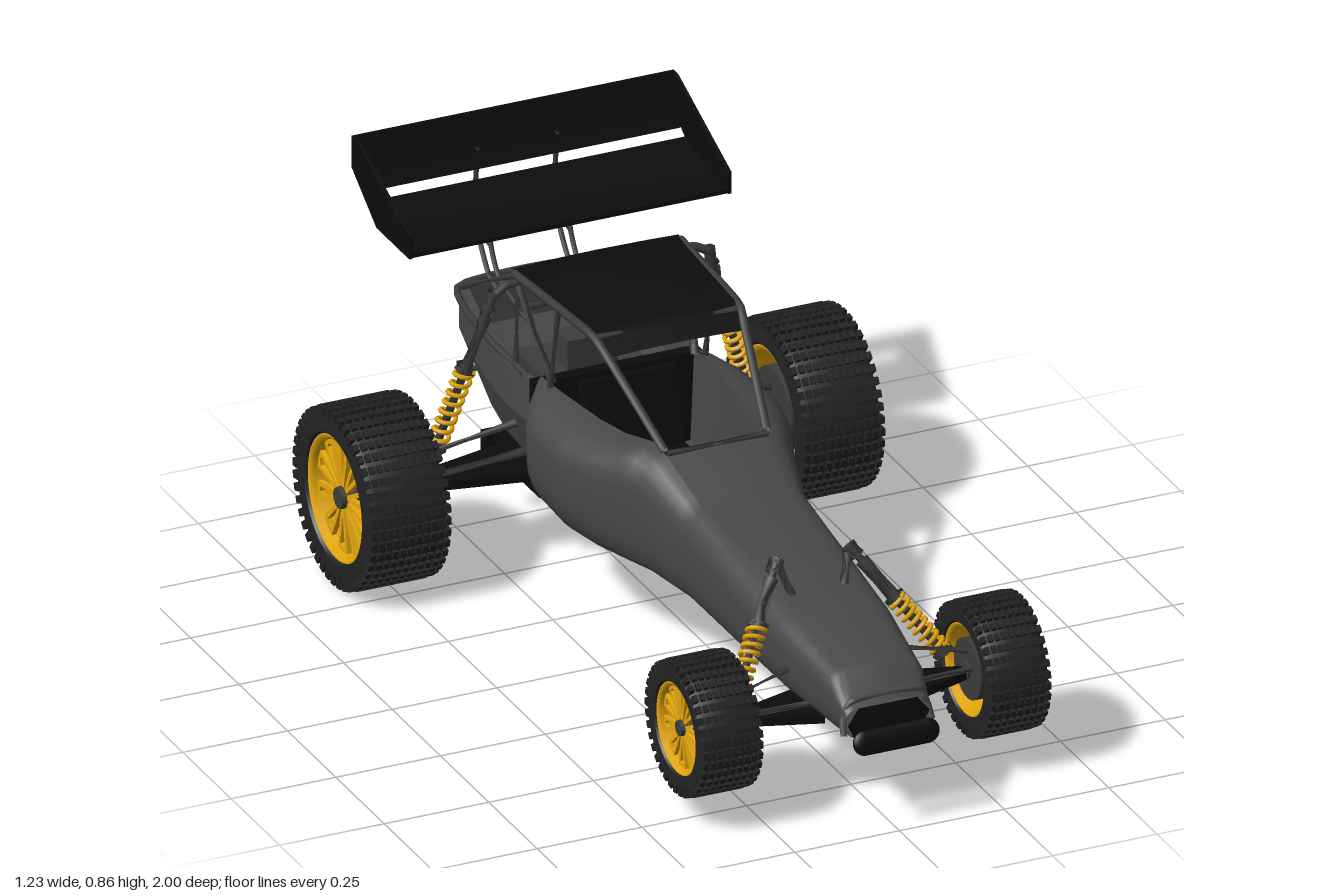
import * as THREE from 'three';
import { mergeGeometries, toCreasedNormals } from 'three/addons/utils/BufferGeometryUtils.js';

const V = (x, y, z) => new THREE.Vector3(x, y, z);
const mat = (color) => new THREE.MeshStandardMaterial({ color, side: THREE.DoubleSide });
const BODY = mat(0x484848), FRAME = mat(0x3c3c3c), BLACK = mat(0x0c0c0c), RUBBER = mat(0x222222), GOLD = mat(0xe6a80c);

function add(parent, name, geo, material, pos) {
  const m = new THREE.Mesh(geo, material);
  m.name = name;
  if (pos) m.position.set(...pos);
  parent.add(m);
  return m;
}

// Skin over a row of cross-sections, each an array of Vector3
function loft(sections, crease = 0.6) {
  const n = sections[0].length, pos = [], idx = [];
  sections.forEach((s) => s.forEach((p) => pos.push(p.x, p.y, p.z)));
  for (let i = 0; i < sections.length - 1; i++) {
    for (let j = 0; j < n - 1; j++) {
      const a = i * n + j, b = a + n;
      idx.push(a, a + 1, b, b, a + 1, b + 1);
    }
  }
  const g = new THREE.BufferGeometry();
  g.setAttribute('position', new THREE.Float32BufferAttribute(pos, 3));
  g.setIndex(idx);
  return toCreasedNormals(g, crease);
}

// Round bar through points
function bar(parent, name, pts, r = 0.009, material = FRAME) {
  const curve = new THREE.CatmullRomCurve3(pts, false, 'catmullrom', 0.3);
  add(parent, name, new THREE.TubeGeometry(curve, pts.length > 2 ? pts.length * 6 : 1, r, 8), material);
}

// Flat plate in the xz plane
function plate(parent, name, pts, y, thick, material) {
  const shape = new THREE.Shape(pts.map(([x, z]) => new THREE.Vector2(x, -z)));
  const g = new THREE.ExtrudeGeometry(shape, { depth: thick, bevelEnabled: false }).rotateX(-Math.PI / 2);
  add(parent, name, g, material, [0, y, 0]);
}

// Shock absorber with coil spring on its lower part
class Helix extends THREE.Curve {
  constructor(a, b, r, turns) {
    super();
    this.a = a; this.b = b; this.r = r; this.turns = turns;
    const d = b.clone().sub(a).normalize();
    this.u = V(0, 0, 1).cross(d).normalize();
    this.v = d.clone().cross(this.u);
  }
  getPoint(t, out = V(0, 0, 0)) {
    const k = t * this.turns * Math.PI * 2;
    return out.lerpVectors(this.a, this.b, t).addScaledVector(this.u, Math.cos(k) * this.r).addScaledVector(this.v, Math.sin(k) * this.r);
  }
}
function shock(parent, name, top, bottom) {
  const g = new THREE.Group();
  g.name = name;
  const at = (t) => top.clone().lerp(bottom, t);
  bar(g, 'damperRod', [top, bottom], 0.009);
  bar(g, 'damperBody', [at(0.14), at(0.5)], 0.016);
  bar(g, 'damperCap', [at(0), at(0.1)], 0.017);
  bar(g, 'springCollar', [at(0.46), at(0.49)], 0.025);
  bar(g, 'springSeat', [at(0.95), at(0.98)], 0.025);
  add(g, 'coilSpring', new THREE.TubeGeometry(new Helix(at(0.49), at(0.95), 0.02, 8), 112, 0.0055, 5), GOLD);
  parent.add(g);
}

// Wheel built around the y axis with +y facing outward
function wheel(name, R, h, r, rows, count) {
  const g = new THREE.Group();
  g.name = name;
  const half = [[r, 0.84], [r * 1.05, 0.95], [R * 0.86, 0.97], [R - 0.016, 0.92], [R - 0.009, 0.75], [R - 0.008, 0]];
  const prof = [...half, ...half.slice(0, -1).reverse().map(([x, y]) => [x, -y])].map(([x, y]) => new THREE.Vector2(x, y * h));
  add(g, 'tyre', toCreasedNormals(new THREE.LatheGeometry(prof, 48), 0.6), RUBBER);
  const knobs = [];
  for (let i = 0; i < count; i++) {
    for (let j = 0; j < rows; j++) {
      const y = ((j + 0.5) / rows * 2 - 1) * h, edge = j === 0 || j === rows - 1;
      const k = new THREE.BoxGeometry(edge ? 0.022 : 0.013, h * 1.35 / rows, Math.PI * R / count * 1.15);
      k.translate(edge ? R - 0.013 : R - 0.0065, y, 0).rotateY(i / count * Math.PI * 2);
      knobs.push(k);
    }
  }
  add(g, 'treadKnobs', mergeGeometries(knobs), RUBBER);
  const rim = [[1.03, -0.88], [0.98, -0.9], [0.92, -0.8], [0.9, 0], [0.92, 0.8], [0.98, 0.9], [1.03, 0.88]];
  add(g, 'rimBarrel', new THREE.LatheGeometry(rim.map(([x, y]) => new THREE.Vector2(x * r, y * h)), 40), GOLD);

  // Petal spokes with a slot
  const petal = new THREE.Shape([[0.14, -0.035], [0.55, -0.12], [0.94, -0.17], [0.94, 0.17], [0.55, 0.12], [0.14, 0.035]].map(([x, y]) => new THREE.Vector2(x * r, y * r)));
  petal.holes.push(new THREE.Path([[0.3, 0], [0.82, 0.085], [0.86, 0], [0.82, -0.085]].map(([x, y]) => new THREE.Vector2(x * r, y * r))));
  const spokes = [];
  for (let i = 0; i < 10; i++) {
    spokes.push(new THREE.ExtrudeGeometry(petal, { depth: h * 0.12, bevelEnabled: false })
      .rotateX(-Math.PI / 2).translate(0, h * 0.6, 0).rotateY(i * Math.PI / 5));
  }
  add(g, 'spokes', mergeGeometries(spokes), GOLD);
  add(g, 'hub', new THREE.CylinderGeometry(r * 0.17, r * 0.2, h * 0.35, 16), FRAME, [0, h * 0.66, 0]);
  add(g, 'hubCarrier', new THREE.CylinderGeometry(r * 0.2, r * 0.2, h * 1.4, 12), FRAME, [0, -h * 0.2, 0]);
  add(g, 'brakeDisc', new THREE.CylinderGeometry(r * 0.68, r * 0.68, h * 0.3, 32), FRAME, [0, -h * 0.65, 0]);
  return g;
}

export function createModel() {
  const car = new THREE.Group();
  car.name = 'racingBuggy';

  // Body stations: z, [rim half-width, top, side half-width, bottom]
  const stations = [[0.94, 0.07, 0.285, 0.1, 0.215], [0.88, 0.075, 0.345, 0.112, 0.215], [0.67, 0.085, 0.385, 0.135, 0.217],
    [0.45, 0.09, 0.415, 0.145, 0.222], [0.2, 0.105, 0.45, 0.152, 0.226], [0.06, 0.12, 0.51, 0.185, 0.23], [0, 0.125, 0.52, 0.21, 0.23],
    [-0.1, 0.145, 0.5, 0.25, 0.232], [-0.2, 0.16, 0.492, 0.274, 0.234], [-0.35, 0.175, 0.488, 0.268, 0.235], [-0.42, 0.18, 0.485, 0.235, 0.235], [-0.46, 0.18, 0.483, 0.2, 0.236]];
  const lerpRow = (z) => {
    const i = Math.max(0, Math.min(stations.length - 2, stations.findIndex((s, k) => k > 0 && s[0] <= z + 1e-6) - 1));
    const a = stations[i], b = stations[i + 1], t = (a[0] - z) / (a[0] - b[0]);
    return a.map((v, k) => v + (b[k] - v) * t);
  };
  const zs = [], Z0 = 0.94, Z1 = -0.46, N = 70;
  for (let i = 0; i <= N; i++) zs.push(Z0 + (Z1 - Z0) * i / N);
  const side = (z, s) => {
    const [, rim, top, w, bot] = lerpRow(z), H = top - bot;
    const pts = [[rim, top], [rim + (w - rim) * 0.55, top - H * 0.05], [w * 0.98, top - H * 0.2], [w, top - H * 0.42], [w * 0.97, bot + H * 0.25], [w * 0.86, bot + H * 0.05], [w * 0.75, bot]];
    return new THREE.CatmullRomCurve3(pts.map(([x, y]) => V(s * x, y, z))).getPoints(14).concat(V(0, bot, z));
  };
  for (const s of [-1, 1]) add(car, 'bodySide', loft(zs.map((z) => side(z, s)), 0.9), BODY);
  add(car, 'hood', loft(zs.filter((z) => z > 0.05).map((z) => {
    const [, rim, top] = lerpRow(z);
    return [-1, -0.5, 0, 0.5, 1].map((k) => V(k * rim, top + 0.008 * (1 - k * k), z));
  })), BODY);
  add(car, 'cockpitTub', loft([0.06, 0, -0.1, -0.2, -0.35, -0.45].map((z) => {
    const [, rim, top] = lerpRow(z);
    return [[-rim, top], [-rim * 0.95, 0.26], [rim * 0.95, 0.26], [rim, top]].map(([x, y]) => V(x, y, z));
  })), BODY);
  add(car, 'rearBulkhead', new THREE.BoxGeometry(0.4, 0.235, 0.03), BLACK, [0, 0.355, -0.465]);
  add(car, 'seatBase', new THREE.BoxGeometry(0.22, 0.05, 0.2), BLACK, [0, 0.29, -0.26]);
  add(car, 'seatBack', new THREE.BoxGeometry(0.22, 0.22, 0.04), BLACK, [0, 0.37, -0.38]).rotation.x = -0.25;

  // Nose face and bumper
  add(car, 'noseFace', loft([[V(-0.07, 0.285, 0.94), V(0.07, 0.285, 0.94)], [V(-0.098, 0.25, 0.945), V(0.098, 0.25, 0.945)], [V(-0.08, 0.215, 0.94), V(0.08, 0.215, 0.94)]]), BLACK);
  bar(car, 'noseHoop', [V(-0.105, 0.225, 0.94), V(-0.1, 0.26, 0.925), V(-0.075, 0.3, 0.925), V(0.075, 0.3, 0.925), V(0.1, 0.26, 0.925), V(0.105, 0.225, 0.94)], 0.008, BODY);
  const bumper = new THREE.CapsuleGeometry(0.028, 0.15, 6, 12).rotateZ(Math.PI / 2).scale(1, 1, 0.45);
  add(car, 'frontBumper', bumper, BLACK, [0, 0.222, 0.983]).rotation.x = -0.3;

  // Open rear engine tub: z, top half-width, top, bottom
  const tub = [[-0.48, 0.2, 0.465, 0.24], [-0.56, 0.215, 0.475, 0.24], [-0.7, 0.205, 0.48, 0.24], [-0.81, 0.185, 0.48, 0.25], [-0.94, 0.155, 0.48, 0.375]];
  const tubRow = ([z, w, t, b]) => [[-w + 0.02, t], [-w, t], [-w, t - 0.1], [-w * 0.75, b], [w * 0.75, b], [w, t - 0.1], [w, t], [w - 0.02, t]].map(([x, y]) => V(x, y, z));
  add(car, 'engineTub', loft(tub.map(tubRow), 0.3), BODY);
  add(car, 'tubRearPanel', loft([[V(-0.155, 0.48, -0.94), V(0.155, 0.48, -0.94)], [V(-0.155, 0.38, -0.94), V(0.155, 0.38, -0.94)], [V(-0.116, 0.375, -0.94), V(0.116, 0.375, -0.94)]]), BODY);
  bar(car, 'tubRim', [V(-0.2, 0.475, -0.5), V(-0.205, 0.482, -0.7), V(-0.155, 0.482, -0.94), V(0.155, 0.482, -0.94), V(0.205, 0.482, -0.7), V(0.2, 0.475, -0.5)], 0.008);
  add(car, 'engineBlock', new THREE.BoxGeometry(0.24, 0.17, 0.22), FRAME, [0, 0.33, -0.62]);
  add(car, 'airBox', new THREE.BoxGeometry(0.12, 0.07, 0.07), FRAME, [0, 0.45, -0.62]);
  add(car, 'skidPlate', new THREE.BoxGeometry(0.34, 0.02, 0.26), BLACK, [0, 0.215, -0.6]);
  for (let i = 0; i < 9; i++) add(car, 'coolingFin', new THREE.BoxGeometry(0.014, 0.045, 0.2), BLACK, [-0.16 + i * 0.04, 0.19, -0.6]);
  add(car, 'rearSkidBar', new THREE.BoxGeometry(0.36, 0.055, 0.03), BLACK, [0, 0.185, -0.76]);
  add(car, 'rearSkidStrip', new THREE.BoxGeometry(0.33, 0.035, 0.008), GOLD, [0, 0.187, -0.777]);

  // Roof panel and cage
  add(car, 'roofPanel', loft([[-0.57, 0.198, 0.698], [-0.22, 0.178, 0.702], [-0.18, 0.168, 0.685], [-0.155, 0.165, 0.66]]
    .map(([z, w, y]) => [-1, -0.6, 0, 0.6, 1].map((k) => V(k * w, y + 0.004 * (1 - k * k), z)))), BLACK);
  for (const y of [0.61, 0.685]) bar(car, 'cageCrossBar', [V(-0.19, y, -0.55), V(0.19, y, -0.55)]);
  bar(car, 'frontCrossBar', [V(-0.17, 0.69, -0.2), V(0.17, 0.69, -0.2)]);
  bar(car, 'windscreenBase', [V(-0.12, 0.517, 0.06), V(0.12, 0.517, 0.06)], 0.007);

  for (const s of [-1, 1]) {
    const P = (x, y, z) => V(s * x, y, z);
    const M = (pts) => pts.map(([x, z]) => [s * x, z]);
    bar(car, 'roofRail', [P(0.122, 0.52, 0.05), P(0.165, 0.665, -0.155), P(0.177, 0.695, -0.22), P(0.198, 0.69, -0.56)], 0.01);
    bar(car, 'rearCageBar', [P(0.198, 0.69, -0.55), P(0.15, 0.485, -0.93)], 0.01);
    bar(car, 'doorBar', [P(0.186, 0.69, -0.36), P(0.185, 0.48, -0.405)], 0.008);
    bar(car, 'mainHoopBar', [P(0.198, 0.68, -0.55), P(0.17, 0.48, -0.425)], 0.01);
    bar(car, 'cageBrace', [P(0.195, 0.68, -0.55), P(0.2, 0.47, -0.55)], 0.008);

    // Front suspension
    shock(car, 'frontShock', P(0.085, 0.475, 0.55), P(0.25, 0.24, 0.7));
    bar(car, 'frontShockMount', [P(0.06, 0.39, 0.58), P(0.085, 0.465, 0.55)], 0.012);
    plate(car, 'frontLowerArm', M([[0.09, 0.66], [0.09, 0.81], [0.28, 0.745], [0.28, 0.715]]), 0.195, 0.02, BLACK);
    bar(car, 'frontUpperArm', [P(0.11, 0.29, 0.7), P(0.29, 0.26, 0.735)]);
    bar(car, 'tieRod', [P(0.1, 0.235, 0.78), P(0.3, 0.225, 0.755)], 0.007);

    // Rear suspension
    shock(car, 'rearShock', P(0.255, 0.665, -0.54), P(0.375, 0.28, -0.595));
    bar(car, 'rearShockMount', [P(0.19, 0.675, -0.545), P(0.225, 0.675, -0.545), P(0.255, 0.66, -0.54)], 0.01);
    plate(car, 'rearLowerArm', M([[0.17, -0.69], [0.17, -0.53], [0.44, -0.585], [0.44, -0.625]]), 0.195, 0.022, BLACK);
    bar(car, 'rearUpperArm', [P(0.19, 0.33, -0.56), P(0.43, 0.27, -0.6)], 0.011);
    bar(car, 'driveShaft', [P(0.1, 0.235, -0.605), P(0.45, 0.21, -0.605)], 0.014);

    // Wheels
    const front = wheel('frontWheel', 0.155, 0.074, 0.103, 9, 36);
    front.position.set(s * 0.344, 0.215, 0.735);
    const rear = wheel('rearWheel', 0.208, 0.098, 0.142, 11, 44);
    rear.position.set(s * 0.518, 0.21, -0.605);
    for (const w of [front, rear]) {
      w.rotation.z = -s * Math.PI / 2;
      car.add(w);
    }

    // Wing end plate and ladder strut
    const end = new THREE.Shape([[0.7, 0.7], [0.87, 0.7], [1, 0.79], [1, 0.865], [0.975, 0.865], [0.7, 0.752]].map(([a, b]) => new THREE.Vector2(a, b)));
    const endGeo = new THREE.ExtrudeGeometry(end, { depth: 0.008, bevelEnabled: false }).rotateY(Math.PI / 2);
    add(car, 'wingEndPlate', endGeo, BLACK, [s * 0.381 - 0.004, 0, 0]);
    const outer = [P(0.095, 0.79, -0.975), P(0.095, 0.68, -0.985), P(0.095, 0.58, -0.97), P(0.095, 0.51, -0.92), P(0.095, 0.485, -0.86)];
    const inner = [P(0.095, 0.73, -0.905), P(0.095, 0.66, -0.92), P(0.095, 0.58, -0.905), P(0.095, 0.52, -0.86), P(0.095, 0.487, -0.72)];
    bar(car, 'wingStrut', outer, 0.006);
    bar(car, 'wingStrut', inner, 0.006);
    for (let i = 1; i < 4; i++) bar(car, 'wingStrutRung', [outer[i], inner[i]], 0.005);
  }

  // Wing planes with a slot between them
  const plane = (pts) => loft(pts.map(([z, y]) => [V(-0.38, y, z), V(0.38, y, z)]));
  add(car, 'wingMainPlane', plane([[-0.7, 0.702], [-0.7, 0.712], [-0.8, 0.716], [-0.925, 0.738], [-0.8, 0.706], [-0.7, 0.702]]), BLACK);
  add(car, 'wingFlap', plane([[-0.952, 0.747], [-0.975, 0.79], [-0.993, 0.865], [-1, 0.865], [-0.985, 0.79], [-0.952, 0.747]]), BLACK);
  return car;
}
